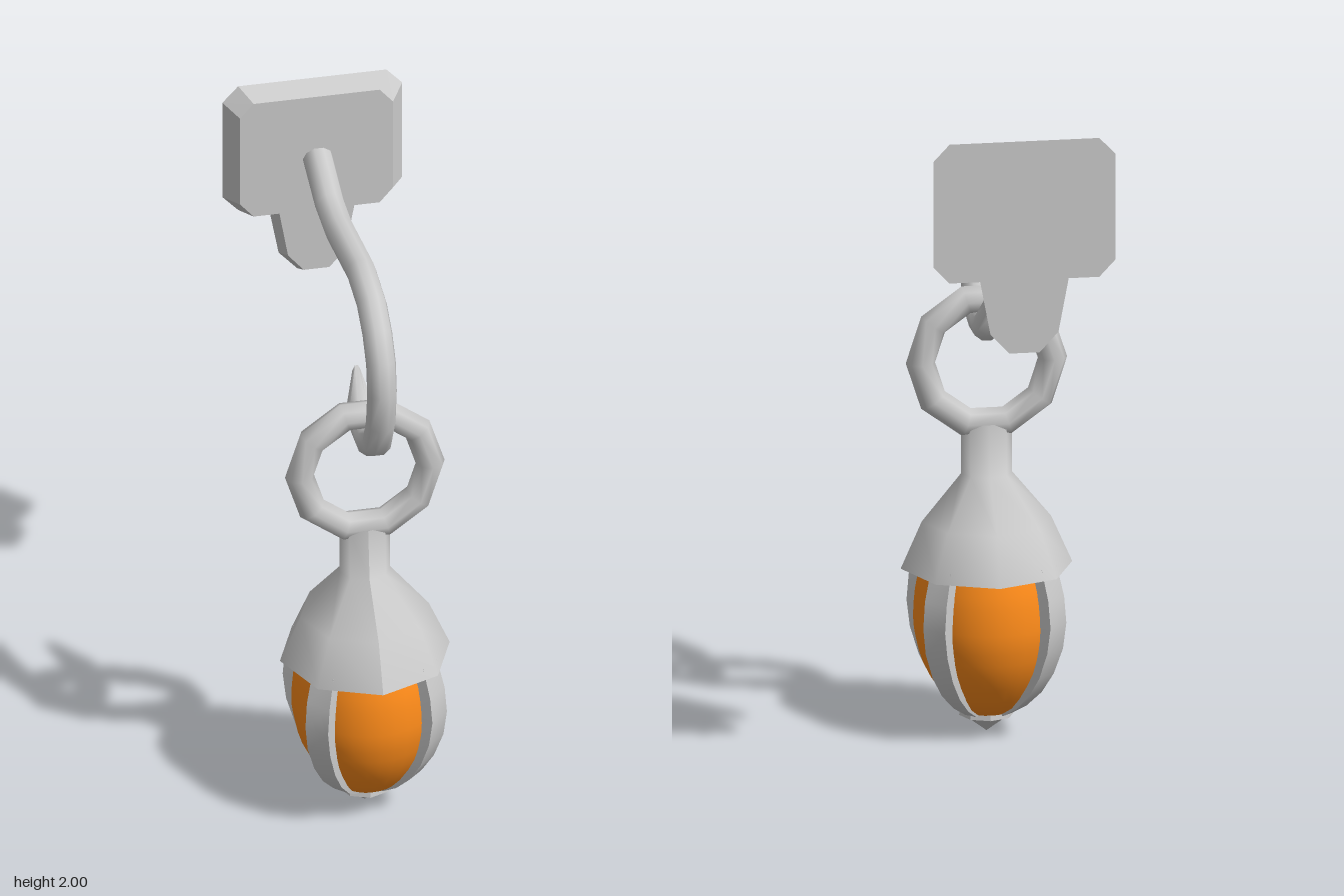
import * as THREE from 'three';
import { toCreasedNormals } from 'three/addons/utils/BufferGeometryUtils.js';

const grey = new THREE.MeshStandardMaterial({ color: 0xcccccc });
const greyOpen = new THREE.MeshStandardMaterial({ color: 0xcccccc, side: THREE.DoubleSide });
const orange = new THREE.MeshStandardMaterial({ color: 0xff8c1a, side: THREE.DoubleSide });

function add(parent, name, geometry, material = grey) {
  const mesh = new THREE.Mesh(geometry, material);
  mesh.name = name;
  parent.add(mesh);
  return mesh;
}

const profile = (pairs) => pairs.map(([r, y]) => new THREE.Vector2(r, y));

// Skin over convex rings, each ordered anticlockwise about the travel direction, with end caps
function loft(rings, crease) {
  const n = rings[0].length, last = rings.length - 1;
  const positions = [], index = [];
  rings.forEach((ring) => ring.forEach((p) => positions.push(p.x, p.y, p.z)));
  for (let i = 0; i < last; i++) {
    for (let j = 0; j < n; j++) {
      const k = (j + 1) % n;
      const a = i * n + j, b = i * n + k, c = (i + 1) * n + k, d = (i + 1) * n + j;
      index.push(a, b, c, a, c, d);
    }
  }
  for (let j = 1; j < n - 1; j++) {
    index.push(0, j + 1, j, last * n, last * n + j, last * n + j + 1);
  }
  const geometry = new THREE.BufferGeometry();
  geometry.setAttribute('position', new THREE.Float32BufferAttribute(positions, 3));
  geometry.setIndex(index);
  return toCreasedNormals(geometry, crease);
}

// Bevelled wall plate with a tapering tab below
function wallPlate() {
  const half = [[0.22, 2], [0.267, 1.95], [0.267, 1.63], [0.22, 1.58], [0.13, 1.58], [0.1, 1.42], [0.045, 1.36]];
  const outline = [...half, ...half.map(([x, y]) => [-x, y]).reverse()];
  const geometry = new THREE.ExtrudeGeometry(new THREE.Shape(profile(outline)), {
    depth: 0.06, bevelEnabled: false,
  });
  const p = geometry.attributes.position;
  for (let i = 0; i < p.count; i++) {
    if (p.getZ(i) > 0.03) p.setXY(i, p.getX(i) * 0.85, 1.68 + (p.getY(i) - 1.68) * 0.91);
  }
  geometry.translate(0, 0, -0.5);
  geometry.computeVertexNormals();
  return geometry;
}

// Bent bar with mitred joints; its tip is cut upright and pinched
function hookBar() {
  const path = [
    [-0.427, 1.772], [-0.26, 1.712], [-0.135, 1.702], [0.165, 1.737], [0.31, 1.71], [0.385, 1.655],
    [0.433, 1.585], [0.447, 1.495], [0.43, 1.385], [0.38, 1.29], [0.29, 1.236], [0.2, 1.238],
    [0.155, 1.262], [0.1, 1.337],
  ].map(([z, y]) => new THREE.Vector3(0, y, z));
  const last = path.length - 1, sides = 10, r = 0.044;
  const rings = path.map((c, i) => {
    const before = c.clone().sub(path[Math.max(i - 1, 0)]).normalize();
    const after = path[Math.min(i + 1, last)].clone().sub(c).normalize();
    const t = before.clone().add(after).normalize();
    if (i === last) t.set(0, 0, -1);
    const stretch = i > 0 && i < last ? 1 / t.dot(after) : 1.05;
    const pinch = i === last ? 0.35 : 1;
    return Array.from({ length: sides }, (_, j) => {
      const a = (j / sides) * Math.PI * 2;
      const s = Math.sin(a) * r * stretch;
      return new THREE.Vector3(Math.cos(a) * r * pinch, c.y + s * t.z, c.z - s * t.y);
    });
  });
  return loft(rings, 0.95);
}

// Curved rectangular strap hugging the bulb at a given angle
function strap(angle) {
  const e = new THREE.Vector3(Math.sin(angle), 0, Math.cos(angle));
  const f = new THREE.Vector3(Math.cos(angle), 0, -Math.sin(angle));
  const stations = [
    [0.075, 0.06, 0.02], [0.125, 0.09, 0.026], [0.175, 0.138, 0.032], [0.215, 0.2, 0.036],
    [0.246, 0.28, 0.039], [0.258, 0.36, 0.039], [0.25, 0.44, 0.039], [0.225, 0.53, 0.036],
  ];
  const rings = stations.map(([r, y, w]) =>
    [[r, -w], [r, w], [r - 0.055, w], [r - 0.055, -w]].map(([d, s]) =>
      new THREE.Vector3(0, y, 0).addScaledVector(e, d).addScaledVector(f, s)));
  return loft(rings, 0.7);
}

// Eight-sided bell whose neck flattens towards the ring
function bellCap() {
  const geometry = new THREE.LatheGeometry(
    profile([[0.252, 0.5], [0.19, 0.64], [0.075, 0.78], [0.075, 0.935]]), 8);
  const p = geometry.attributes.position;
  for (let i = 0; i < p.count; i++) {
    if (p.getY(i) > 0.9) p.setZ(i, p.getZ(i) * 0.62);
    else if (p.getY(i) > 0.7) p.setZ(i, p.getZ(i) * 0.88);
  }
  geometry.computeVertexNormals();
  return geometry;
}

export function createModel() {
  const model = new THREE.Group();
  model.name = 'wallLantern';
  add(model, 'wallPlate', wallPlate());
  add(model, 'hook', hookBar());

  // Hanging lantern
  const lantern = new THREE.Group();
  lantern.name = 'lantern';
  lantern.position.set(-0.008, 0, 0.25);
  model.add(lantern);

  add(lantern, 'ring', new THREE.TorusGeometry(0.194, 0.043, 8, 10)).position.y = 1.12;
  add(lantern, 'cap', bellCap(), greyOpen);

  const bulbCurve = new THREE.SplineCurve(profile([
    [0.05, 0.055], [0.115, 0.1], [0.18, 0.2], [0.207, 0.29], [0.212, 0.36], [0.203, 0.45], [0.18, 0.53],
  ]));
  add(lantern, 'bulb', new THREE.LatheGeometry(bulbCurve.getPoints(14), 32), orange).scale.z = 1.1;

  for (let i = 0; i < 4; i++) {
    add(lantern, 'strap', strap(Math.PI / 4 + (i * Math.PI) / 2));
  }

  // Pointed finial under the bulb
  const finial = new THREE.LatheGeometry(
    profile([[0, 0], [0.06, 0.045], [0.08, 0.05], [0.078, 0.068], [0, 0.085]]), 8);
  add(lantern, 'finial', toCreasedNormals(finial, 0.5), greyOpen);
  return model;
}
